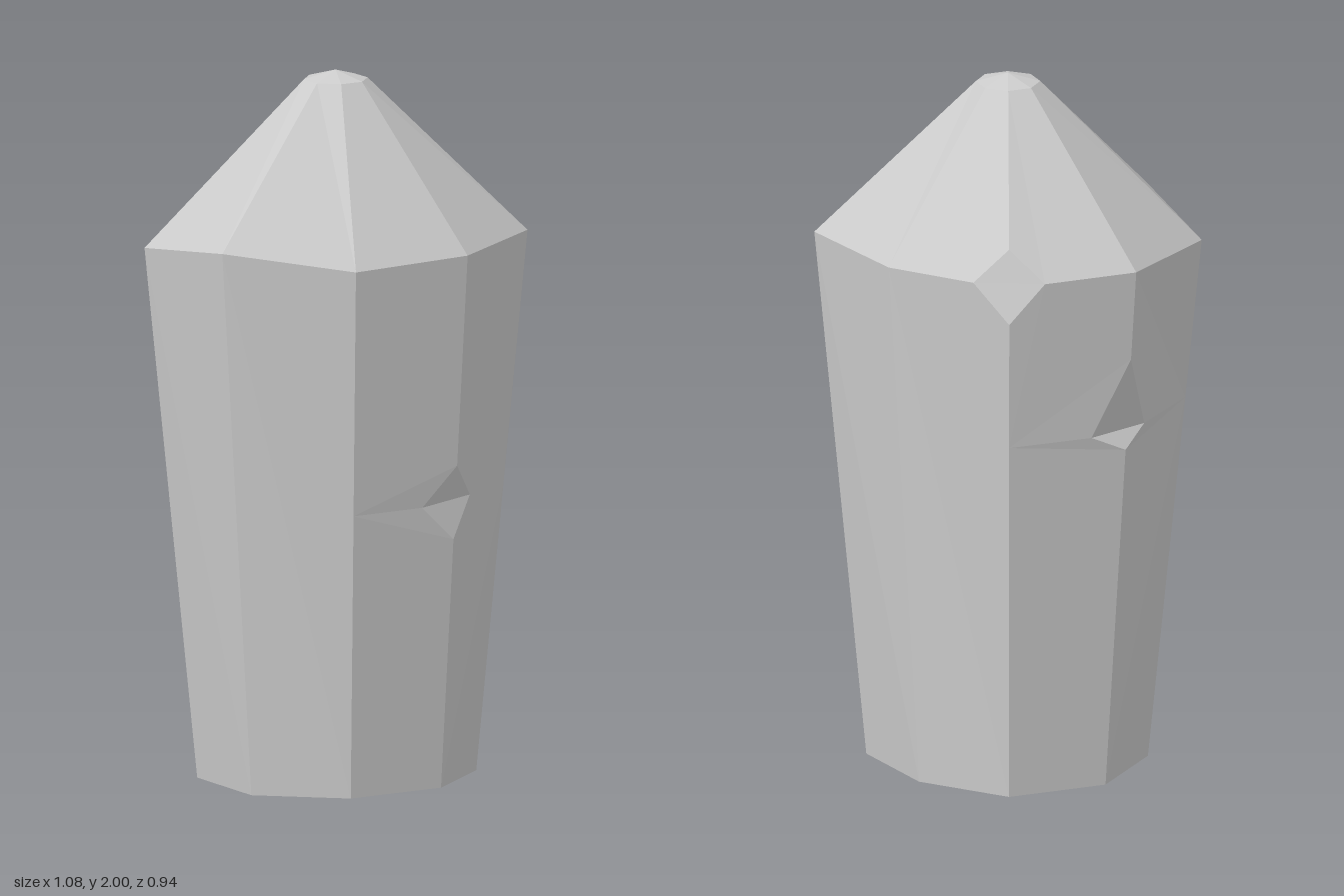
import * as THREE from 'three';

const V = (x, y, z) => new THREE.Vector3(x, y, z);

// Corner rings run from the left (+x) through the front (+z) and round the back
const base = [[0.395, 0.035], [0.255, 0.27], [-0.02, 0.385], [-0.285, 0.29],
  [-0.39, 0.01], [-0.27, -0.25], [0, -0.36], [0.25, -0.22]].map(([x, z]) => V(x, 0, z));
const shoulder = [V(0.54, 1.53, 0.035), V(0.32, 1.52, 0.33), V(-0.02, 1.51, 0.47), V(-0.385, 1.56, 0.395),
  V(-0.54, 1.51, 0.015), V(-0.355, 1.53, -0.34), V(0, 1.42, -0.475), V(0.335, 1.525, -0.275)];
const N = base.length;
const crown = base.map((_, i) => {
  const a = (i / N) * Math.PI * 2;
  return V(0.09 * Math.cos(a), 1.975, 0.02 + 0.09 * Math.sin(a));
});

// Corner 6 is knocked off at the shoulder
const CHIPPED = 6;
const chip = { before: V(-0.1, 1.53, -0.445), after: V(0.1, 1.53, -0.43), top: V(0, 1.62, -0.41) };

// Wedge cuts across two of the corners: ends of the cut and its height range
const notches = {
  1: { low: 0.71, high: 0.92, prev: V(0.345, 0.82, 0.22), next: V(0.19, 0.81, 0.34) },
  5: { low: 1.0, high: 1.27, prev: V(-0.378, 1.05, -0.22), next: V(-0.23, 1.05, -0.355) },
};

// Point on corner edge i at height y
const onEdge = (i, y) => base[i].clone().lerp(shoulder[i], y / shoulder[i].y);

// Points up corner i, going round the notch on the given side
function column(i, side) {
  const n = notches[i];
  const cut = n ? [onEdge(i, n.low), n[side], onEdge(i, n.high)] : [];
  return [base[i], ...cut, shoulder[i]];
}

// Flat-shaded mesh from polygons, each fanned from its first point
function facets(name, polygons) {
  const points = [];
  for (const p of polygons) {
    for (let k = 1; k < p.length - 1; k++) points.push(p[0], p[k], p[k + 1]);
  }
  const geometry = new THREE.BufferGeometry().setFromPoints(points);
  geometry.computeVertexNormals();
  const mesh = new THREE.Mesh(geometry, new THREE.MeshStandardMaterial({
    color: 0xcccccc, flatShading: true, side: THREE.DoubleSide,
  }));
  mesh.name = name;
  return mesh;
}

export function createModel() {
  const group = new THREE.Group();
  group.name = 'taperedPost';
  const walls = [], roof = [], cap = [], cuts = [];
  const apex = V(0, 2, 0.02);

  for (let i = 0; i < N; i++) {
    const j = (i + 1) % N;
    // The shoulder line gains a point beside the chipped corner
    const rim = j === CHIPPED ? [chip.before] : i === CHIPPED ? [chip.after] : [];
    const right = column(i, 'next');
    const left = column(j, 'prev').reverse();

    // Wall panel, fanned from the plain edge opposite any notch
    if (notches[i]) {
      walls.push([onEdge(j, notches[i].next.y), base[j], ...right, ...rim, shoulder[j]]);
    } else if (notches[j]) {
      walls.push([onEdge(i, notches[j].prev.y), shoulder[i], ...rim, ...left, base[i]]);
    } else {
      walls.push([...right, ...rim, ...left]);
    }

    // Sloping roof panel and cap facet
    const a = i === CHIPPED ? [chip.top, chip.after] : [shoulder[i]];
    const b = j === CHIPPED ? [chip.before, chip.top] : [shoulder[j]];
    roof.push([crown[j], ...b.reverse(), ...a.reverse(), crown[i]]);
    cap.push([apex, crown[j], crown[i]]);
  }

  // Upper and lower faces of each wedge cut
  for (const [key, n] of Object.entries(notches)) {
    const i = Number(key);
    cuts.push([n.next, n.prev, onEdge(i, n.high)], [n.prev, n.next, onEdge(i, n.low)]);
  }

  group.add(
    facets('walls', walls),
    facets('roof', roof),
    facets('cap', cap),
    facets('notches', cuts),
    facets('shoulderChip', [
      [chip.after, chip.before, chip.top],
      [chip.before, chip.after, shoulder[CHIPPED]],
    ]),
  );
  return group;
}
